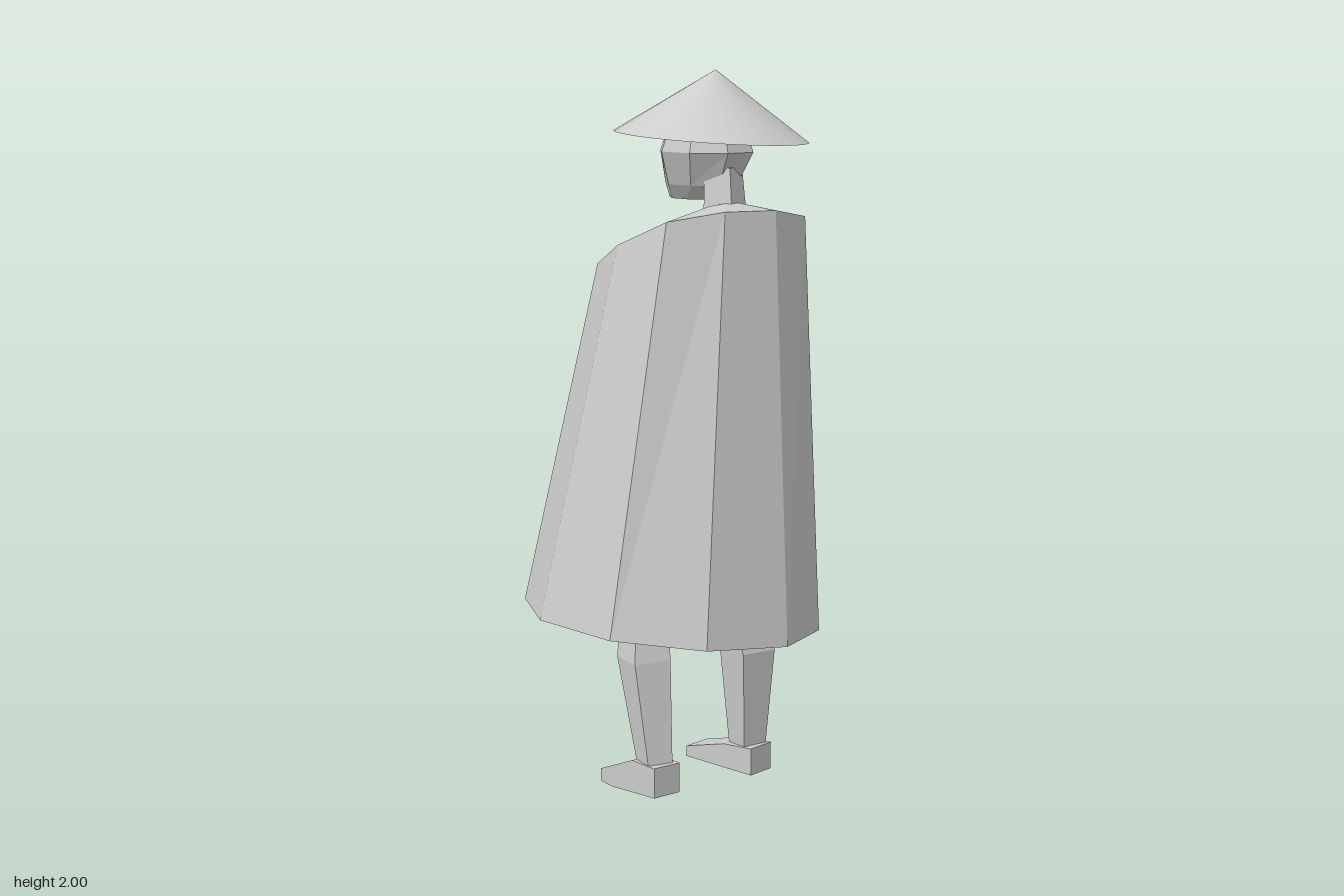
import * as THREE from 'three';

const flat = new THREE.MeshStandardMaterial({ color: 0xcccccc, flatShading: true });
const thin = new THREE.MeshStandardMaterial({ color: 0xcccccc, flatShading: true, side: THREE.DoubleSide });
const smoothThin = new THREE.MeshStandardMaterial({ color: 0xcccccc, side: THREE.DoubleSide });

// Horizontal ring of n points, counterclockwise from above
function ring([x, y, z], rx, rz, n = 4, yaw = 0) {
  const k = n === 4 ? Math.SQRT2 : 1; // for n = 4, rx and rz are half widths
  const c = Math.cos(yaw), s = Math.sin(yaw);
  return Array.from({ length: n }, (_, i) => {
    const t = ((i + 0.5) / n) * Math.PI * 2;
    const u = Math.cos(t) * rx * k, v = -Math.sin(t) * rz * k;
    return [x + u * c + v * s, y, z - u * s + v * c];
  });
}

// Skin over rings ordered from bottom to top
function loft(rings, closed = true) {
  const pos = [], n = rings[0].length;
  for (let i = 0; i < rings.length - 1; i++) {
    for (let j = 0; j < (closed ? n : n - 1); j++) {
      const k = (j + 1) % n;
      const a = rings[i][j], b = rings[i][k], c = rings[i + 1][k], d = rings[i + 1][j];
      pos.push(...a, ...b, ...c, ...a, ...c, ...d);
    }
  }
  if (closed) {
    const lo = rings[0], hi = rings[rings.length - 1];
    for (let j = 1; j < n - 1; j++) {
      pos.push(...lo[0], ...lo[j + 1], ...lo[j], ...hi[0], ...hi[j], ...hi[j + 1]);
    }
  }
  const g = new THREE.BufferGeometry();
  g.setAttribute('position', new THREE.Float32BufferAttribute(pos, 3));
  g.computeVertexNormals();
  return g;
}

export function createModel() {
  const model = new THREE.Group();
  const add = (name, geometry, material = flat) => {
    const mesh = new THREE.Mesh(geometry, material);
    mesh.name = name;
    model.add(mesh);
    return mesh;
  };
  const ball = (name, p, r) => add(name, new THREE.SphereGeometry(r, 12, 8)).position.set(...p);

  // Conical hat, slightly tilted
  const hat = add('hat', new THREE.ConeGeometry(0.267, 0.18, 32, 1, true), smoothThin);
  hat.position.set(0.14, 1.91, 0.005);
  hat.rotation.set(0.06, 0, -0.03);

  // Faceted head, narrowing to a flat chin
  add('head', loft([
    ring([0.135, 1.65, -0.07], 0.055, 0.08, 8),
    ring([0.135, 1.69, -0.04], 0.085, 0.118, 8),
    ring([0.135, 1.78, -0.018], 0.122, 0.148, 8),
    ring([0.135, 1.84, -0.015], 0.105, 0.125, 8),
    ring([0.135, 1.89, -0.01], 0.06, 0.07, 8),
  ]));
  add('neck', loft([
    ring([0.125, 1.6, 0.07], 0.05, 0.042, 4, 0.4),
    ring([0.13, 1.74, 0.055], 0.04, 0.038, 4, 0.4),
  ]));

  // Cloak: hem, sloping shoulder line and collar, open at -z
  const hem = [[-0.12, -0.385], [-0.28, -0.31], [-0.405, -0.085], [-0.375, 0.17], [-0.2, 0.355], [0.05, 0.4],
    [0.28, 0.29], [0.4, 0.07], [0.37, -0.185], [0.2, -0.37], [0.015, -0.405]]
    .map(([x, z]) => [x, 0.505 - 0.085 * x - 0.04 * z, z]);
  const shoulder = [[0.0, -0.24], [-0.11, -0.19], [-0.165, -0.04], [-0.15, 0.14], [-0.02, 0.225], [0.14, 0.25],
    [0.285, 0.215], [0.385, 0.115], [0.385, -0.1], [0.213, -0.255], [0.085, -0.262]]
    .map(([x, z]) => [x, 1.563 + 0.4 * (z - 0.12) - 0.075 * (x - 0.385), z]);
  const throat = [0.135, 1.65, 0.06];
  const collar = shoulder.map((p) => p.map((v, i) => v + (throat[i] - v) * 0.72));
  add('cloak', loft([hem, shoulder, collar], false), thin);

  // Body under the cloak
  add('chest', loft([
    ring([0.1, 1.08, 0.03], 0.085, 0.06),
    ring([0.11, 1.32, 0.04], 0.13, 0.085),
    ring([0.12, 1.52, 0.06], 0.1, 0.06),
  ]));
  ball('waist', [0.1, 1.04, 0.03], 0.065);
  add('pelvis', loft([
    ring([0.09, 0.86, 0.02], 0.075, 0.06),
    ring([0.095, 0.93, 0.02], 0.12, 0.08),
    ring([0.1, 1.01, 0.03], 0.1, 0.07),
  ]));

  // Arms hanging inside the cloak
  for (const s of [-1, 1]) {
    const side = s > 0 ? 'left' : 'right';
    const x = (d) => 0.115 + s * d;
    ball(side + 'Shoulder', [x(0.17), 1.41, 0.03], 0.045);
    add(side + 'UpperArm', loft([
      ring([x(0.2), 1.15, 0.02], 0.03, 0.035),
      ring([x(0.18), 1.38, 0.03], 0.04, 0.045),
    ]));
    ball(side + 'Elbow', [x(0.2), 1.12, 0.02], 0.035);
    add(side + 'Forearm', loft([
      ring([x(0.19), 0.9, -0.05], 0.025, 0.025),
      ring([x(0.2), 1.09, 0.01], 0.035, 0.04),
    ]));
    add(side + 'Hand', loft([
      ring([x(0.185), 0.8, -0.08], 0.02, 0.03),
      ring([x(0.19), 0.89, -0.05], 0.03, 0.035),
    ]));
  }

  // Legs in mid-stride: foot profiles are [forward, height]
  const legs = [
    { side: 'left', hip: [0.165, 0.86, 0.02], knee: [0.22, 0.49, 0.02], calf: [0.23, 0.38, 0.055],
      ankle: [0.235, 0.09, 0.052], yaw: -0.12, footX: 0.22, footYaw: 0.13,
      foot: [[-0.11, 0.027], [0.13, 0.035], [0.13, 0.065], [-0.01, 0.1], [-0.11, 0.105]] },
    { side: 'right', hip: [0.02, 0.86, 0.01], knee: [-0.045, 0.49, -0.085], calf: [-0.06, 0.38, -0.058],
      ankle: [-0.075, 0.09, 0.005], yaw: -0.25, footX: -0.075, footYaw: -0.05,
      foot: [[-0.06, 0.015], [0.13, 0], [0.185, 0.004], [0.185, 0.04], [0.04, 0.1], [-0.06, 0.1]] },
  ];
  for (const { side, hip, knee, calf, ankle, yaw, footX, footYaw, foot } of legs) {
    add(side + 'Thigh', loft([
      ring([knee[0], 0.52, knee[2]], 0.05, 0.055, 4, yaw),
      ring([(knee[0] + hip[0]) / 2, 0.72, (knee[2] + hip[2]) / 2], 0.068, 0.075, 4, yaw),
      ring(hip, 0.055, 0.06, 4, yaw),
    ]));
    ball(side + 'Knee', knee, 0.042);
    add(side + 'Shin', loft([
      ring(ankle, 0.037, 0.036, 4, yaw),
      ring(calf, 0.055, 0.056, 4, yaw),
      ring([knee[0] + 0.002, 0.47, knee[2] + 0.01], 0.052, 0.05, 4, yaw),
    ]));
    const g = new THREE.ExtrudeGeometry(new THREE.Shape(foot.map((p) => new THREE.Vector2(...p))),
      { depth: 0.09, bevelEnabled: false });
    g.translate(0, 0, -0.045).rotateY(Math.PI / 2 + footYaw).translate(footX, 0, 0);
    add(side + 'Foot', g);
  }
  return model;
}
